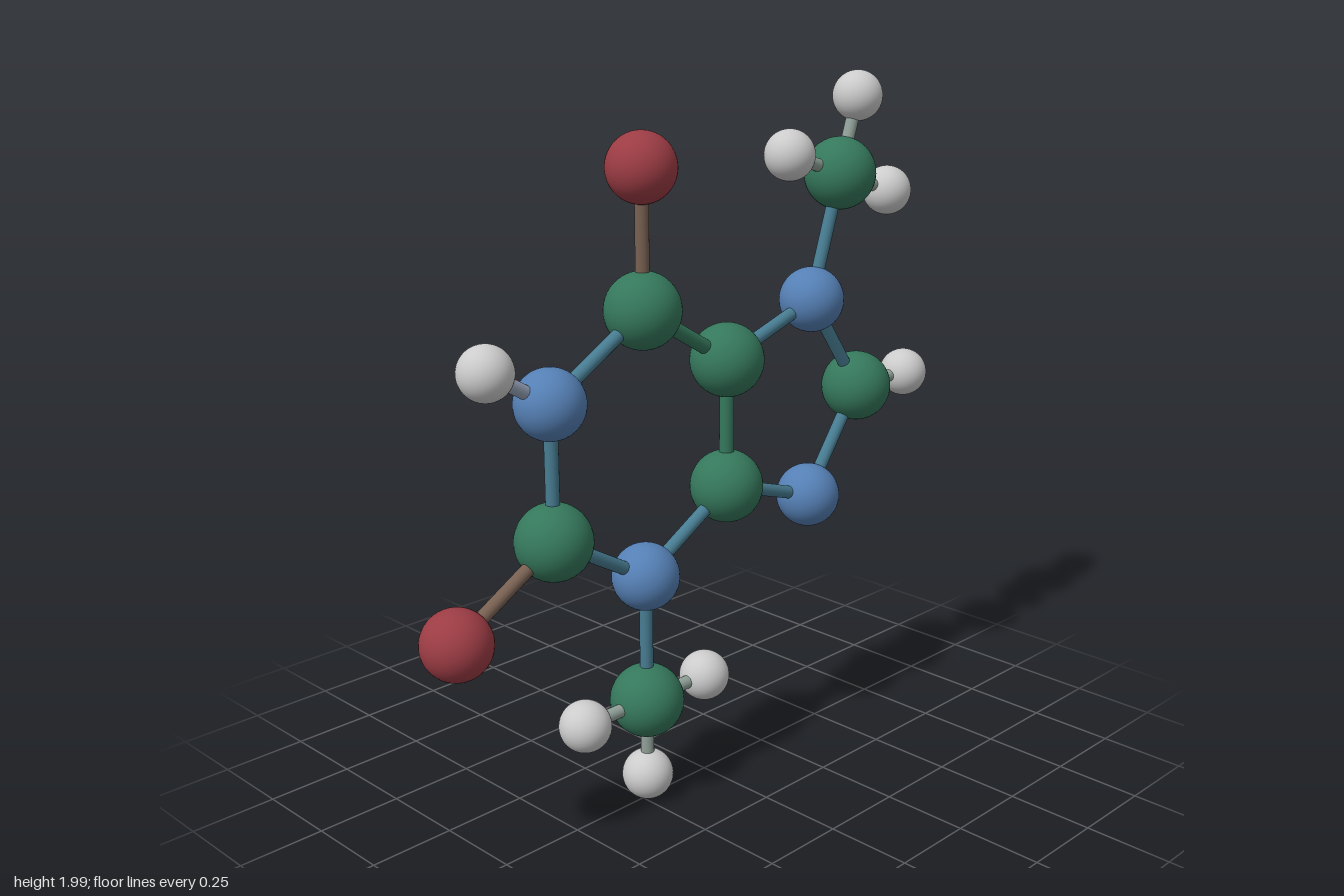
import * as THREE from 'three';

// Kinds of ball: radius and colour
const KINDS = {
  C: { name: 'greenBall', radius: 0.105, color: 0x35785c },
  N: { name: 'blueBall', radius: 0.095, color: 0x5580b5 },
  O: { name: 'redBall', radius: 0.095, color: 0x9c3c44 },
  H: { name: 'greyBall', radius: 0.073, color: 0xbfbfbf },
};

// Ball positions in the z = 0 plane: kind, x, y
const ATOMS = {
  ringTop: ['C', -0.23, 1.43],
  ringUpperRight: ['C', 0.09, 1.24],
  ringLowerRight: ['C', 0.09, 0.87],
  ringBottom: ['N', -0.23, 0.683],
  ringLowerLeft: ['C', -0.555, 0.87],
  ringUpperLeft: ['N', -0.555, 1.24],
  pentagonTop: ['N', 0.445, 1.357],
  pentagonTip: ['C', 0.66, 1.057],
  pentagonBottom: ['N', 0.445, 0.757],
  topOxygen: ['O', -0.23, 1.803],
  leftOxygen: ['O', -0.878, 0.683],
  leftHydrogen: ['H', -0.755, 1.357],
  tipHydrogen: ['H', 0.892, 1.057],
  upperBranch: ['C', 0.56, 1.712],
  upperHydrogenA: ['H', 0.34, 1.783],
  upperHydrogenB: ['H', 0.631, 1.928],
  upperHydrogenC: ['H', 0.78, 1.64],
  lowerBranch: ['C', -0.23, 0.31],
  lowerHydrogenA: ['H', -0.462, 0.31],
  lowerHydrogenB: ['H', 0, 0.31],
  lowerHydrogenC: ['H', -0.23, 0.079],
};

// Each chain joins its balls one after another
const CHAINS = [
  ['ringTop', 'ringUpperRight', 'ringLowerRight', 'ringBottom', 'ringLowerLeft', 'ringUpperLeft', 'ringTop'],
  ['ringUpperRight', 'pentagonTop', 'pentagonTip', 'pentagonBottom', 'ringLowerRight'],
  ['ringTop', 'topOxygen'],
  ['ringLowerLeft', 'leftOxygen'],
  ['ringUpperLeft', 'leftHydrogen'],
  ['pentagonTip', 'tipHydrogen'],
  ['pentagonTop', 'upperBranch', 'upperHydrogenA'],
  ['upperHydrogenB', 'upperBranch', 'upperHydrogenC'],
  ['ringBottom', 'lowerBranch', 'lowerHydrogenA'],
  ['lowerHydrogenB', 'lowerBranch', 'lowerHydrogenC'],
];

const UP = new THREE.Vector3(0, 1, 0);
const position = (key) => new THREE.Vector3(ATOMS[key][1], ATOMS[key][2], 0);

// Rod between two balls, coloured halfway between them
function makeBond(from, to) {
  const a = position(from);
  const b = position(to);
  const kindA = KINDS[ATOMS[from][0]];
  const kindB = KINDS[ATOMS[to][0]];
  const radius = kindA === KINDS.C && kindB === KINDS.C ? 0.021 : 0.019;
  const color = new THREE.Color(kindA.color).lerp(new THREE.Color(kindB.color), 0.5);
  const bond = new THREE.Mesh(
    new THREE.CylinderGeometry(radius, radius, a.distanceTo(b), 20, 1, true),
    new THREE.MeshStandardMaterial({ color }),
  );
  bond.position.copy(a).lerp(b, 0.5);
  bond.quaternion.setFromUnitVectors(UP, b.clone().sub(a).normalize());
  bond.name = `rod ${from} to ${to}`;
  return bond;
}

export function createModel() {
  const model = new THREE.Group();
  model.name = 'ballAndStickMolecule';

  // Balls, sharing one geometry and material per kind
  const balls = new THREE.Group();
  balls.name = 'balls';
  const parts = {};
  for (const [key, kind] of Object.entries(KINDS)) {
    parts[key] = {
      geometry: new THREE.SphereGeometry(kind.radius, 40, 28),
      material: new THREE.MeshStandardMaterial({ color: kind.color }),
    };
  }
  for (const [key, [kind]] of Object.entries(ATOMS)) {
    const ball = new THREE.Mesh(parts[kind].geometry, parts[kind].material);
    ball.position.copy(position(key));
    ball.name = `${KINDS[kind].name} ${key}`;
    balls.add(ball);
  }

  // Rods
  const rods = new THREE.Group();
  rods.name = 'rods';
  for (const chain of CHAINS) {
    for (let i = 1; i < chain.length; i++) rods.add(makeBond(chain[i - 1], chain[i]));
  }

  model.add(balls, rods);
  return model;
}
